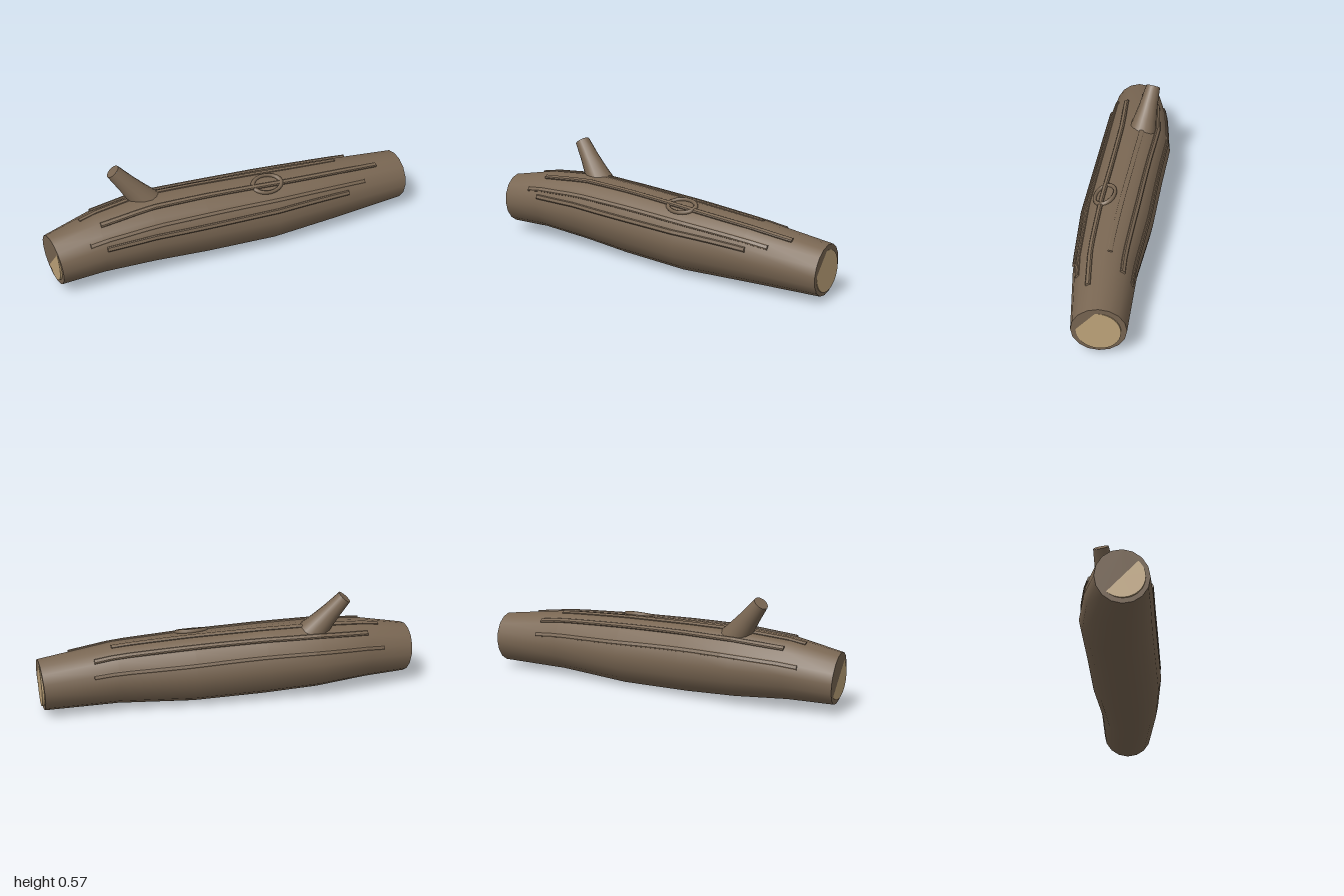
import * as THREE from 'three';

const SIDES = 16;
// Trunk stations: x, bottom, top, back z, front z, lean of the ring in y and z
const stations = [
  [-0.987, 0.047, 0.315, -0.12, 0.14, -0.075, 0.08],
  [-0.75, 0.05, 0.368, -0.175, 0.155, 0, 0],
  [-0.47, 0.03, 0.393, -0.21, 0.168, 0, 0],
  [-0.18, 0.012, 0.388, -0.19, 0.185, 0, 0],
  [0.2, 0.003, 0.373, -0.17, 0.207, 0, 0],
  [0.6, 0.024, 0.35, -0.127, 0.195, 0, 0],
  [0.992, 0.03, 0.297, -0.115, 0.155, 0.045, 0.05],
];

// Station values interpolated at any x
function stationAt(x) {
  let i = 0;
  while (i < stations.length - 2 && x > stations[i + 1][0]) i++;
  const a = stations[i], b = stations[i + 1];
  const t = (x - a[0]) / (b[0] - a[0]);
  return a.map((v, k) => v + (b[k] - v) * t);
}

// Point on the trunk at an angle (0 = front, 90 degrees = top), raised by lift
function surface([x, y0, y1, z0, z1, ly, lz], angle, lift = 0) {
  const dy = ((y1 - y0) / 2 + lift) * Math.sin(angle);
  const dz = ((z1 - z0) / 2 + lift) * Math.cos(angle);
  return [x + ly * dy + lz * dz, (y0 + y1) / 2 + dy, (z0 + z1) / 2 + dz];
}

// Skin closed rings of points that follow one another along x
function loft(rings, flat) {
  const n = rings[0].length, index = [];
  for (let i = 0; i < rings.length - 1; i++) {
    for (let j = 0; j < n; j++) {
      const k = (j + 1) % n, a = i * n, b = a + n;
      index.push(a + j, b + j, a + k, b + j, b + k, a + k);
    }
  }
  const last = (rings.length - 1) * n;
  if (flat) {
    for (let j = 1; j < n - 1; j++) {
      index.push(0, j, j + 1, last, last + j + 1, last + j);
    }
  }
  let g = new THREE.BufferGeometry();
  g.setAttribute('position', new THREE.Float32BufferAttribute(rings.flat(2), 3));
  g.setIndex(index);
  if (flat) g = g.toNonIndexed();
  g.computeVertexNormals();
  return g;
}

// Flat polygon closing a ring
function endFace(ring, towardPlusX) {
  const g = new THREE.BufferGeometry(), index = [];
  for (let j = 1; j < ring.length - 1; j++) {
    index.push(0, ...(towardPlusX ? [j + 1, j] : [j, j + 1]));
  }
  g.setAttribute('position', new THREE.Float32BufferAttribute(ring.flat(), 3));
  g.setIndex(index);
  g.computeVertexNormals();
  return g;
}

export function createModel() {
  const group = new THREE.Group();
  const bark = new THREE.MeshStandardMaterial({ color: 0x7a6753 });
  bark.name = 'bark brown';
  const wood = new THREE.MeshStandardMaterial({ color: 0xbfa47a });
  wood.name = 'cut wood tan';

  function add(name, geometry, material) {
    const mesh = new THREE.Mesh(geometry, material);
    mesh.name = name;
    group.add(mesh);
    return mesh;
  }

  // Trunk and its leaning end faces
  const rings = stations.map((s) =>
    Array.from({ length: SIDES }, (_, j) => surface(s, (j / SIDES) * Math.PI * 2 + Math.PI / 2)));
  add('trunk', loft(rings, false), bark);
  add('rightEndRim', endFace(rings[0], false), bark);
  add('leftEndRim', endFace(rings[rings.length - 1], true), bark);

  // Upright cut-wood discs, partly sunk into the leaning ends
  for (const [name, x, y, z, side] of [
    ['leftCutFace', 0.9975, 0.16, 0.021, 1],
    ['rightCutFace', -0.987, 0.181, 0.01, -1],
  ]) {
    const disc = add(name, new THREE.CylinderGeometry(0.108, 0.108, 0.02, 32), wood);
    disc.rotation.z = Math.PI / 2;
    disc.position.set(x - side * 0.01, y, z);
  }

  // Raised bark ridges: angle in degrees, start x, end x, height
  const ridges = [
    [19, -0.74, 0.62, 0.009],
    [36, -0.82, 0.73, 0.007],
    [66, -0.74, 0.83, 0.009],
    [101, -0.82, 0.62, 0.005],
    [128, -0.74, 0.72, 0.009],
    [158, -0.82, 0.73, 0.007],
  ];
  ridges.forEach(([degrees, x0, x1, height], r) => {
    const sections = [];
    for (let i = 0; i <= 16; i++) {
      const x = x0 + ((x1 - x0) * i) / 16;
      const s = stationAt(x);
      const a = THREE.MathUtils.degToRad(degrees) + 0.03 * Math.sin(x * 4 + r);
      const w = 0.013 / ((s[2] - s[1]) / 2);
      sections.push([
        surface(s, a - w, -0.012), surface(s, a - w, height * 0.5), surface(s, a - w * 0.6, height),
        surface(s, a + w * 0.6, height), surface(s, a + w, height * 0.5), surface(s, a + w, -0.012),
      ]);
    }
    add('barkRidge' + (r + 1), loft(sections, true), bark);
  });

  // Oval knot ring lying on the upper front
  const knotAngle = 1.22;
  const knot = add('knotRing', new THREE.TorusGeometry(0.075, 0.012, 8, 28), bark);
  knot.scale.set(1.05, 0.75, 1);
  knot.rotation.x = -knotAngle;
  knot.position.set(...surface(stationAt(0.18), knotAngle, -0.003));

  // Broken branch stub with a flared foot
  const base = new THREE.Vector3(-0.445, 0.34, -0.053);
  const tip = new THREE.Vector3(-0.607, 0.545, -0.1);
  const direction = tip.clone().sub(base);
  const length = direction.length();
  const profile = [[0.078, 0], [0.064, 0.07], [0.05, 0.16], [0.039, length]];
  const stub = new THREE.Group();
  stub.name = 'branchStub';
  const side = new THREE.Mesh(
    new THREE.LatheGeometry(profile.map(([r, y]) => new THREE.Vector2(r, y)), 14), bark);
  side.name = 'stubSide';
  const top = new THREE.Mesh(new THREE.CircleGeometry(0.039, 14), bark);
  top.name = 'stubTop';
  top.rotation.x = -Math.PI / 2;
  top.position.y = length;
  stub.add(side, top);
  stub.position.copy(base);
  stub.quaternion.setFromUnitVectors(new THREE.Vector3(0, 1, 0), direction.normalize());
  group.add(stub);

  return group;
}
